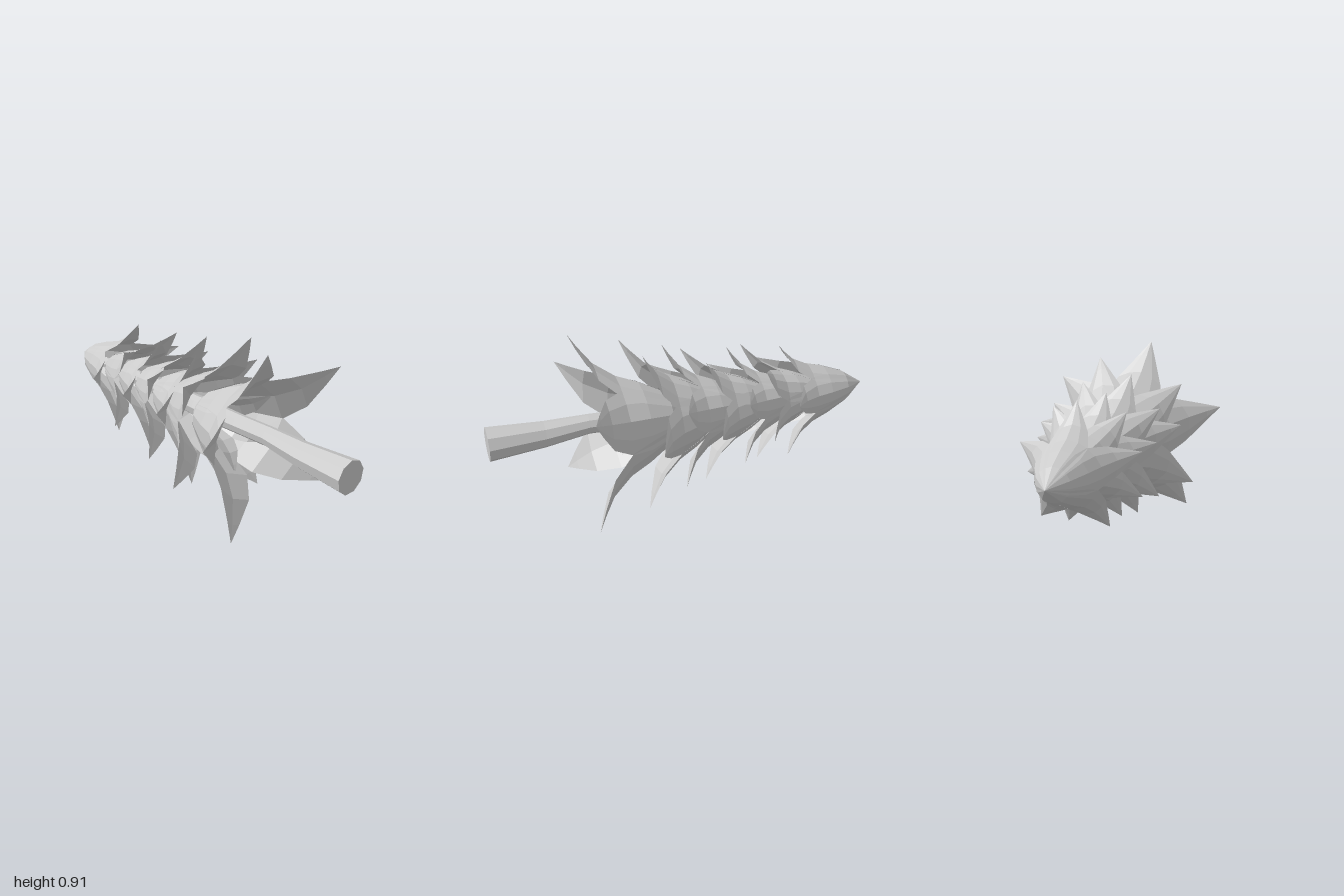
import * as THREE from 'three';

const CX = 0.02, CY = 0.418;
const material = new THREE.MeshStandardMaterial({ color: 0xcccccc, flatShading: true });

// Skins a row of closed rings (ordered towards +z, points anticlockwise)
function loft(rings) {
  const n = rings[0].length, pos = [], index = [];
  rings.forEach(ring => ring.forEach(p => pos.push(...p)));
  for (let i = 0; i < rings.length - 1; i++) {
    for (let j = 0; j < n; j++) {
      const a = i * n + j, b = i * n + (j + 1) % n;
      index.push(a, b, a + n, b, b + n, a + n);
    }
  }
  const g = new THREE.BufferGeometry();
  g.setAttribute('position', new THREE.Float32BufferAttribute(pos, 3));
  g.setIndex(index);
  const flat = g.toNonIndexed();
  flat.computeVertexNormals();
  return flat;
}

// Along a bough: [length fraction, radius fraction, half width fraction]
const PROFILE = [
  [0, 0, 0], [0.22, 0.25, 0.19], [0.45, 0.40, 0.29], [0.64, 0.50, 0.31],
  [0.82, 0.67, 0.235], [0.93, 0.86, 0.10], [1, 1, 0],
];
// Across a bough: [sideways, radial], both in half widths; last point is the underside
const SECTION = [[-1, -0.38], [-0.55, -0.1], [0, 0.06], [0.55, -0.1], [1, -0.38], [0, -0.17]];

// A keeled leaf-shaped bough that flares away from the trunk
function bough(angle, tipZ, length, reach) {
  const c = Math.cos(angle), s = Math.sin(angle);
  return loft(PROFILE.map(([f, rf, wf]) => {
    const w = wf * reach;
    return SECTION.map(([u, v]) => {
      const r = rf * reach + v * w, side = u * w;
      return [CX + c * r - s * side, CY + s * r + c * side, tipZ - length * (1 - f)];
    });
  }));
}

// Tiers from trunk end to treetop: tip z, length, reach, bough angles in degrees
const TIERS = [
  [0.33, 0.36, 0.23, [110, 35, -35, -105, 195]],
  [0.56, 0.60, 0.51, [101, 35, -41, -127, 163]],
  [0.25, 0.48, 0.45, [76, 10, -66, -152, 137]],
  [0.09, 0.45, 0.38, [105, 33, -39, -111, 162]],
  [-0.07, 0.44, 0.36, [72, 8, -68, -142, 142]],
  [-0.24, 0.42, 0.32, [100, 30, -40, -115, 165]],
  [-0.37, 0.42, 0.31, [57, -12, -72, -150, 128]],
  [-0.50, 0.50, 0.31, [88, 20, -52, -118, 164]],
];

export function createModel() {
  const model = new THREE.Group();
  model.name = 'lowPolyPine';

  // Slightly bent tapering trunk: [z, x, y, radius]
  const path = [
    [-0.8, 0.02, 0.415, 0], [-0.8, 0.02, 0.415, 0.03], [0, 0.015, 0.43, 0.055],
    [0.3, 0.01, 0.445, 0.05], [0.5, 0.01, 0.455, 0.05], [0.72, 0.012, 0.443, 0.066],
    [1, 0.015, 0.445, 0.086], [1, 0.015, 0.445, 0],
  ];
  const sides = 9;
  const trunk = new THREE.Mesh(loft(path.map(([z, x, y, r]) =>
    Array.from({ length: sides }, (_, j) => {
      const a = (j + 0.25) / sides * Math.PI * 2;
      return [x + r * Math.cos(a), y + r * Math.sin(a), z];
    }))), material);
  trunk.name = 'trunk';
  model.add(trunk);

  // Tiers of five boughs
  TIERS.forEach(([tipZ, length, reach, angles], i) => {
    const tier = new THREE.Group();
    tier.name = i ? `boughTier${i}` : 'innerBoughTier';
    angles.forEach(deg => {
      const mesh = new THREE.Mesh(bough(deg * Math.PI / 180, tipZ, length, reach), material);
      mesh.name = 'bough';
      tier.add(mesh);
    });
    model.add(tier);
  });
  return model;
}
